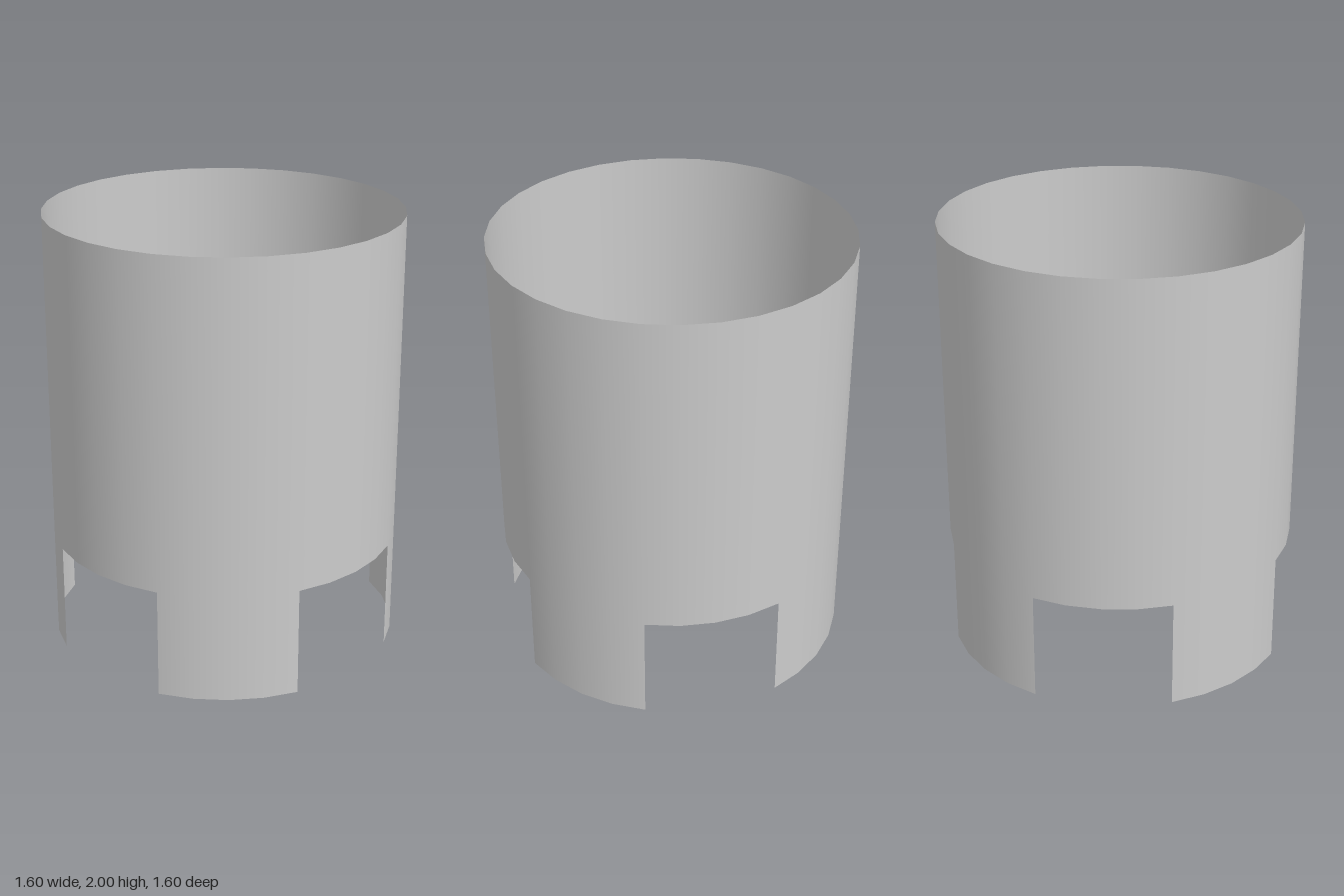
import * as THREE from 'three';

const RADIUS = 0.8, HEIGHT = 2, LEG_HEIGHT = 0.5, SEGMENTS = 32;

export function createModel() {
  const group = new THREE.Group();
  group.name = 'slottedSleeve';
  const material = new THREE.MeshStandardMaterial({ color: 0xcccccc, side: THREE.DoubleSide });

  // Open, paper-thin curved wall spanning part or all of the circle
  const addWall = (name, bottom, top, segments, start, sweep) => {
    const geometry = new THREE.CylinderGeometry(RADIUS, RADIUS, top - bottom, segments, 1, true, start, sweep);
    const mesh = new THREE.Mesh(geometry, material);
    mesh.name = name;
    mesh.position.y = (bottom + top) / 2;
    group.add(mesh);
  };

  // Full tube above the slots
  addWall('tubeWall', LEG_HEIGHT, HEIGHT, SEGMENTS, 0, Math.PI * 2);

  // Four curved legs on the diagonals, each an eighth of the circle
  ['frontLeftLeg', 'backLeftLeg', 'backRightLeg', 'frontRightLeg'].forEach((name, i) => {
    addWall(name, 0, LEG_HEIGHT, SEGMENTS / 8, Math.PI / 8 + i * Math.PI / 2, Math.PI / 4);
  });

  return group;
}
